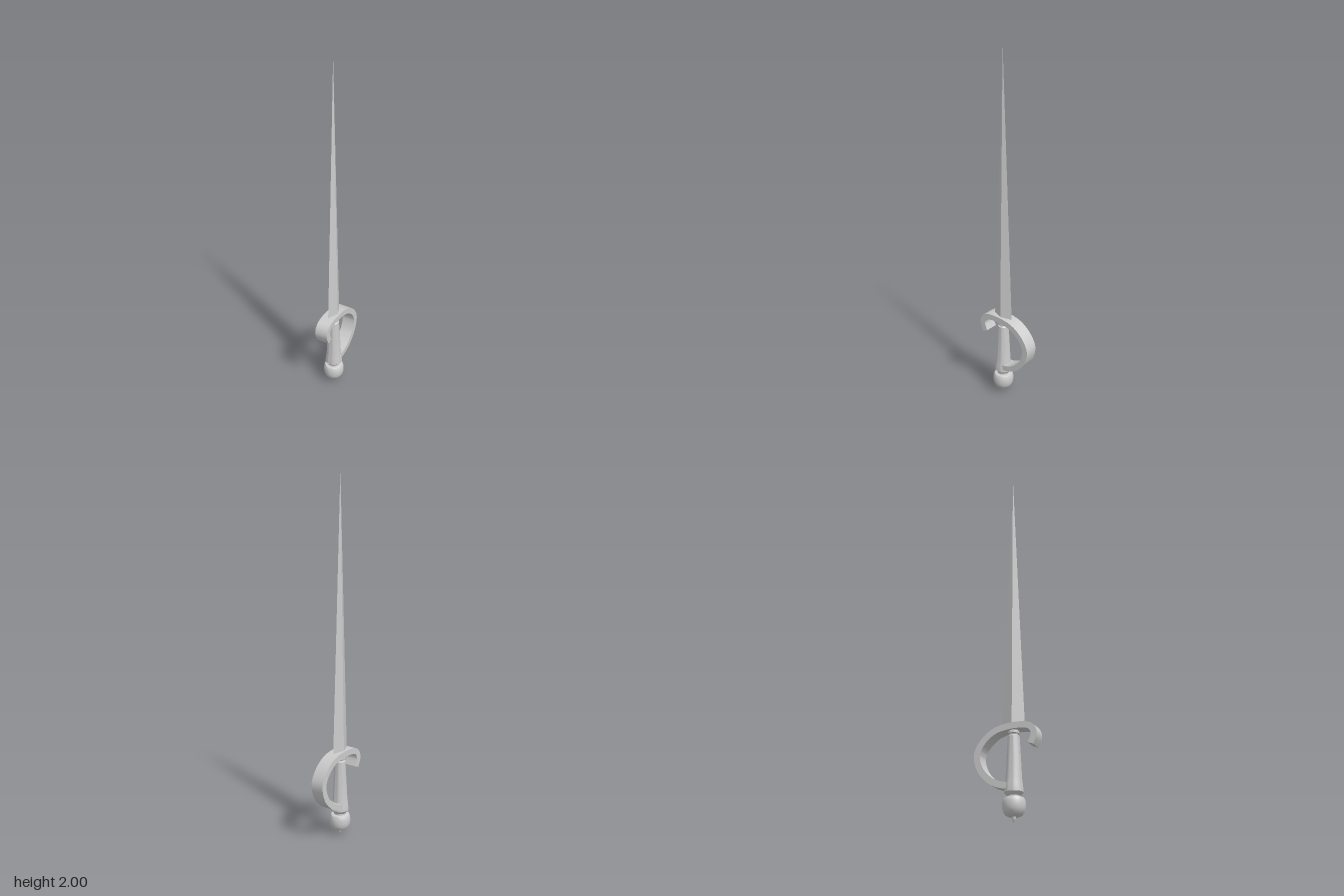
import * as THREE from 'three';
import { toCreasedNormals } from 'three/addons/utils/BufferGeometryUtils.js';

const AXIS_Z = 0.031; // blade and grip sit slightly forward of centre

const vec = ([a, b]) => new THREE.Vector2(a, b);

function makeMesh(name, geometry, flatShading = false) {
  const mesh = new THREE.Mesh(geometry, new THREE.MeshStandardMaterial({ color: 0xcccccc, flatShading }));
  mesh.name = name;
  return mesh;
}

// Turned part on the sword's axis, from [radius, y] points going up
function turned(name, profile) {
  const mesh = makeMesh(name, toCreasedNormals(new THREE.LatheGeometry(profile.map(vec), 32), 0.6));
  mesh.position.z = AXIS_Z;
  return mesh;
}

// Diamond-section tapering blade
function makeBlade() {
  const base = 0.48, height = 2 - base;
  const geometry = new THREE.ConeGeometry(1, height, 4);
  geometry.scale(0.027, 1, 0.061);
  const blade = makeMesh('blade', geometry, true);
  blade.position.set(0, base + height / 2, AXIS_Z);
  return blade;
}

// Flat band swept along a curve in the z-y plane: front curl, cross bar, knuckle bow
function makeGuard() {
  const half = 0.0165, width = 0.076, steps = 56;
  const path = new THREE.SplineCurve([
    [0.135, 0.376], [0.153, 0.423], [0.139, 0.461], [0.103, 0.476], [0.034, 0.479],
    [-0.045, 0.466], [-0.103, 0.431], [-0.143, 0.38], [-0.154, 0.331], [-0.132, 0.264],
    [-0.084, 0.212], [-0.034, 0.186], [0.01, 0.177],
  ].map(vec));
  const outer = [], inner = [];
  for (let i = 0; i <= steps; i++) {
    const p = path.getPointAt(i / steps), t = path.getTangentAt(i / steps);
    const n = new THREE.Vector2(-t.y, t.x).multiplyScalar(half);
    outer.push(p.clone().add(n));
    inner.unshift(p.clone().sub(n));
  }
  const geometry = new THREE.ExtrudeGeometry(new THREE.Shape([...outer, ...inner]), {
    depth: width, bevelEnabled: false,
  });
  geometry.translate(0, 0, -width / 2);
  geometry.rotateY(-Math.PI / 2);
  return makeMesh('guard', toCreasedNormals(geometry, 0.6));
}

export function createModel() {
  const sword = new THREE.Group();
  sword.name = 'sword';
  sword.add(
    makeBlade(),
    makeGuard(),
    // Grip with flared foot and a small collar below the guard
    turned('grip', [
      [0, 0.12], [0.033, 0.12], [0.033, 0.13], [0.048, 0.147], [0.048, 0.156], [0.044, 0.19],
      [0.041, 0.215], [0.036, 0.32], [0.03, 0.432], [0.024, 0.437], [0.024, 0.442],
      [0.03, 0.446], [0.03, 0.456], [0.024, 0.461], [0.024, 0.475], [0, 0.475],
    ]),
    // Rounded pommel with flattened ends
    turned('pommel', [
      [0, 0.029], [0.028, 0.03], [0.042, 0.037], [0.051, 0.049], [0.056, 0.064], [0.058, 0.08],
      [0.0575, 0.097], [0.055, 0.111], [0.051, 0.119], [0.045, 0.122], [0, 0.122],
    ]),
    // Small pointed button under the pommel
    turned('pommelButton', [[0, 0], [0.005, 0.008], [0.009, 0.018], [0.01, 0.032], [0, 0.032]]),
  );
  return sword;
}
